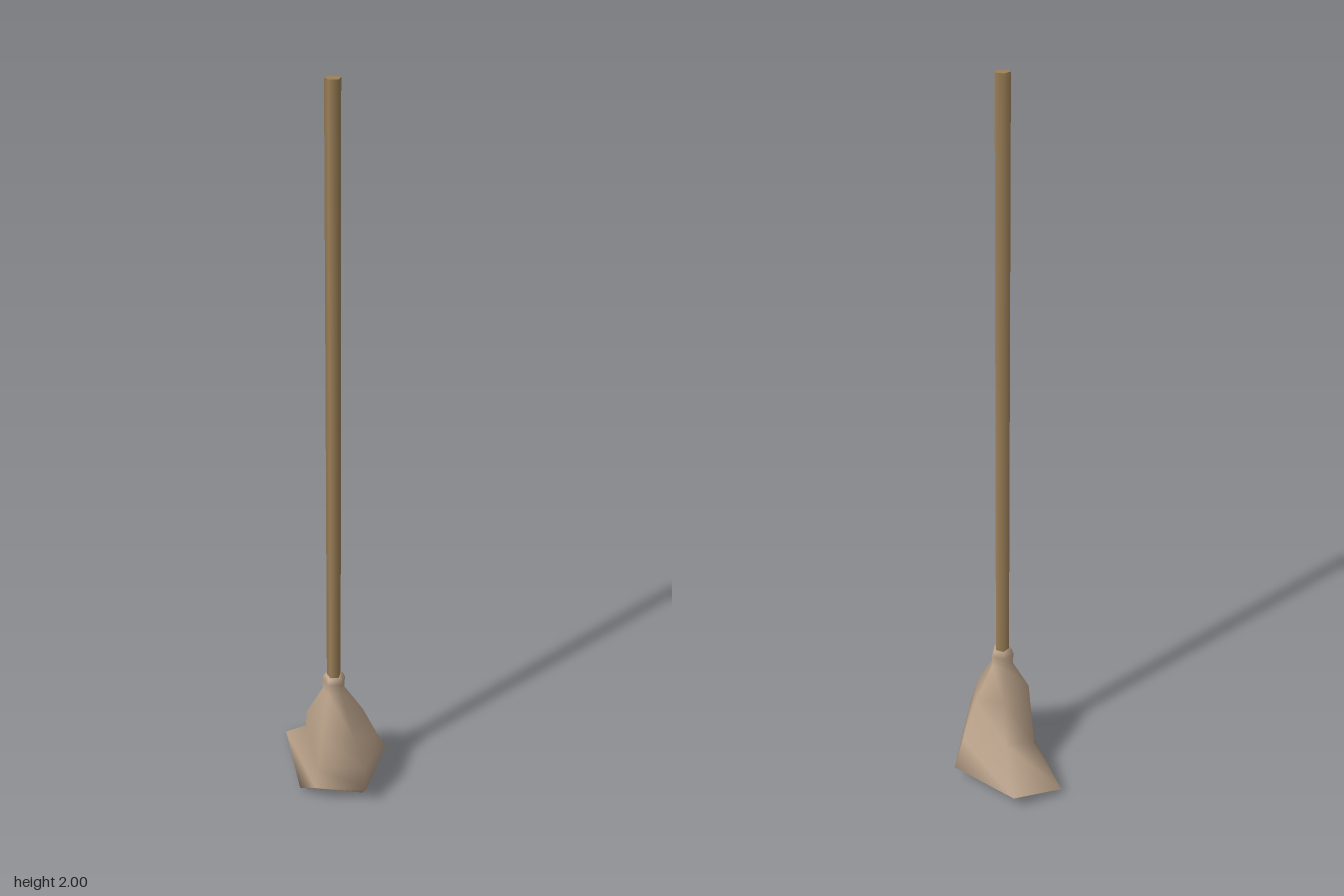
import * as THREE from 'three';

const AX = -0.02, AZ = 0.07; // handle axis

// Regular five-sided ring around the handle axis, one corner to the back
function collarRing(y, r) {
  return Array.from({ length: 5 }, (_, i) => {
    const a = (i / 5) * Math.PI * 2;
    return [AX + Math.sin(a) * r, y, AZ - Math.cos(a) * r];
  });
}

// Skin over rings listed from top to bottom, closed underneath
function loft(rings) {
  const n = rings[0].length;
  const points = rings.flat();
  const last = rings[rings.length - 1];
  points.push([0, 1, 2].map(k => last.reduce((s, p) => s + p[k], 0) / n));
  const index = [];
  for (let i = 0; i < rings.length - 1; i++) {
    for (let j = 0; j < n; j++) {
      const a = i * n + j, b = i * n + (j + 1) % n;
      index.push(a, b, a + n, b, b + n, a + n);
    }
  }
  const base = (rings.length - 1) * n;
  for (let j = 0; j < n; j++) index.push(points.length - 1, base + j, base + (j + 1) % n);
  const g = new THREE.BufferGeometry();
  g.setAttribute('position', new THREE.Float32BufferAttribute(points.flat(), 3));
  g.setIndex(index);
  g.computeVertexNormals();
  return g;
}

export function createModel() {
  const group = new THREE.Group();
  const wood = new THREE.MeshStandardMaterial({ name: 'wood', color: 0x9c8058 });
  const fibre = new THREE.MeshStandardMaterial({ name: 'fibre', color: 0xb8a088 });

  // Five-sided pole
  const handle = new THREE.Mesh(new THREE.CylinderGeometry(0.02, 0.02, 1.64, 5, 1, false, Math.PI), wood);
  handle.name = 'handle';
  handle.position.set(AX, 1.18, AZ);
  group.add(handle);

  // Head: collar, shoulders, swept skirt and underside.
  // Corners run back, left, front left, front right, right.
  const head = new THREE.Mesh(loft([
    collarRing(0.385, 0.019),
    collarRing(0.383, 0.027),
    collarRing(0.368, 0.033),
    collarRing(0.335, 0.031),
    [[-0.005, 0.26, -0.016], [0.065, 0.235, 0.04], [0.03, 0.22, 0.157], [-0.06, 0.215, 0.135], [-0.095, 0.25, 0.053]],
    [[0, 0.14, -0.057], [0.108, 0.125, 0.013], [0.053, 0.13, 0.166], [-0.072, 0.12, 0.142], [-0.094, 0.1, -0.02]],
    [[0.005, 0.045, -0.175], [0.14, 0.05, -0.015], [0.06, 0.06, 0.173], [-0.08, 0.055, 0.147], [-0.142, 0.022, -0.145]],
    [[0.003, 0.018, -0.14], [0.05, 0.004, -0.05], [0.05, 0.033, 0.155], [-0.12, 0.022, 0.105], [-0.135, 0.017, -0.135]],
  ]), fibre);
  head.name = 'head';
  group.add(head);

  return group;
}
